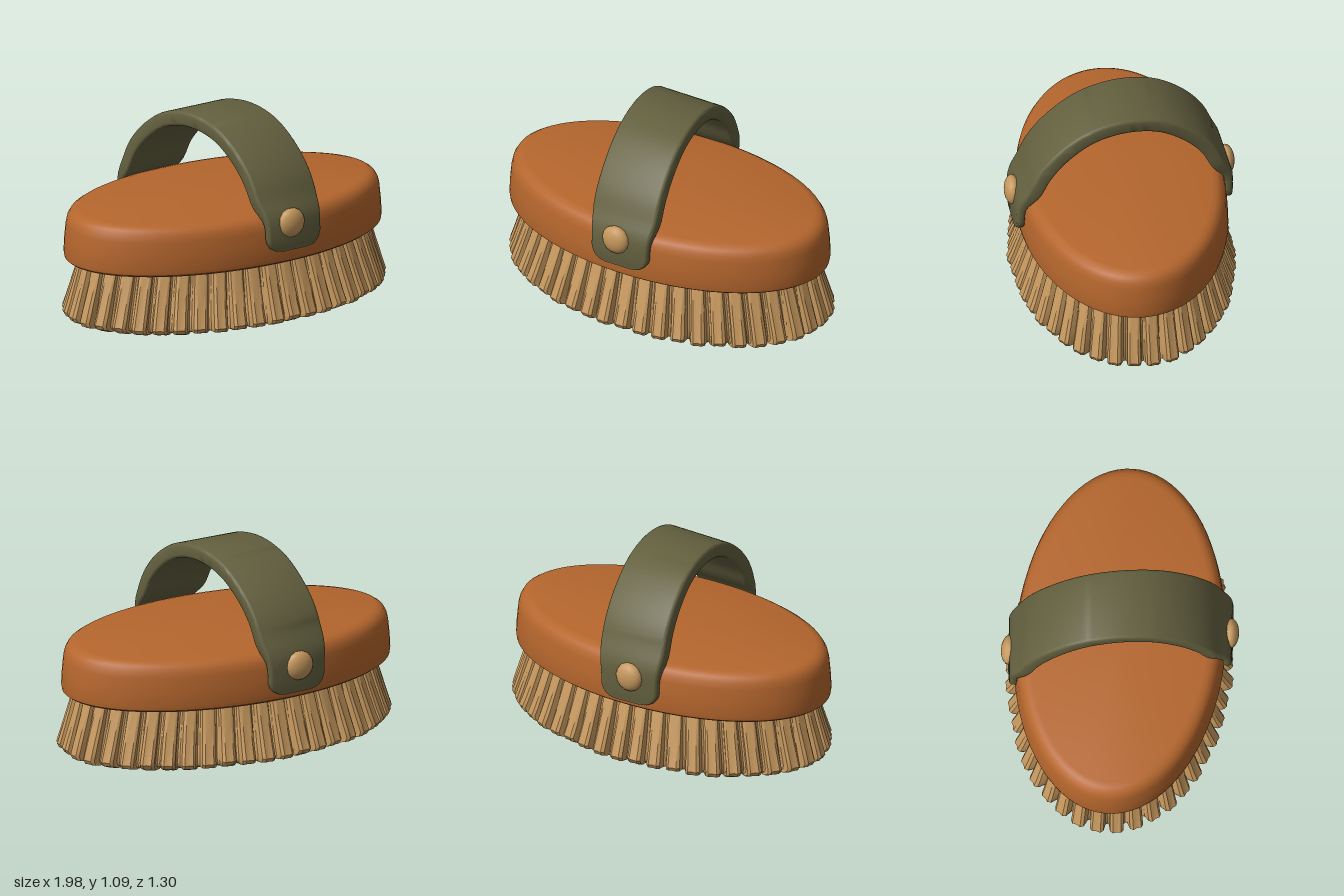
import * as THREE from 'three';
import { toCreasedNormals } from 'three/addons/utils/BufferGeometryUtils.js';

// Skin a stack of closed rings and cap both ends
function loft(rings, crease) {
  const n = rings[0].length, pos = [], idx = [];
  rings.forEach(r => r.forEach(p => pos.push(p.x, p.y, p.z)));
  for (let j = 0; j < rings.length - 1; j++) {
    for (let i = 0; i < n; i++) {
      const a = j * n + i, b = j * n + (i + 1) % n;
      idx.push(a, a + n, b, b, a + n, b + n);
    }
  }
  [0, rings.length - 1].forEach(j => {
    const c = new THREE.Vector3();
    rings[j].forEach(p => c.addScaledVector(p, 1 / n));
    const k = pos.length / 3;
    pos.push(c.x, c.y, c.z);
    for (let i = 0; i < n; i++) {
      const a = j * n + i, b = j * n + (i + 1) % n;
      if (j === 0) idx.push(k, a, b); else idx.push(k, b, a);
    }
  });
  const g = new THREE.BufferGeometry();
  g.setAttribute('position', new THREE.Float32BufferAttribute(pos, 3));
  g.setIndex(idx);
  return toCreasedNormals(g, crease);
}

// Small seeded noise in 0..1
const noise = k => { const s = Math.sin(k * 12.9898) * 43758.5453; return s - Math.floor(s); };

// Oval wooden block with a softly rounded top edge
function blockGeometry() {
  const profile = [[0.06, 0.34], [0.02, 0.343], [0.004, 0.355], [0, 0.38], [0.004, 0.46], [0.012, 0.54],
    [0.02, 0.575], [0.036, 0.602], [0.06, 0.618], [0.09, 0.625]];
  const rings = profile.map(([inset, y]) => Array.from({ length: 80 }, (_, i) => {
    const a = i / 80 * Math.PI * 2;
    return new THREE.Vector3(-0.01 + (0.985 - inset) * Math.cos(a), y, (0.582 - inset) * Math.sin(a));
  }));
  return loft(rings, 0.7);
}

// Flared skirt of bristle tufts, each tuft a rib with a groove between
function bristleGeometry() {
  const tufts = 44;
  const rib = [[0, 1], [0.1, 0.85], [0.16, 0.2], [0.3, 0], [0.5, 0.08], [0.7, 0], [0.84, 0.2], [0.9, 0.85]];
  // rx, rz, y, groove depth
  const levels = [[0.95, 0.585, 0.004, 0.05], [0.985, 0.62, 0.012, 0.06], [0.998, 0.633, 0.035, 0.07],
    [0.98, 0.61, 0.1, 0.066], [0.94, 0.565, 0.23, 0.05], [0.905, 0.525, 0.35, 0.035]];
  const rings = levels.map(([rx, rz, y, depth], j) => {
    const curve = new THREE.EllipseCurve(0, 0, rx, rz, 0, Math.PI * 2);
    curve.arcLengthDivisions = 400;
    const ring = [];
    for (let t = 0; t < tufts; t++) {
      const back = noise(t + 1) * 0.014, lift = j > 0 && j < 3 ? noise(t + 70) * 0.012 : 0;
      rib.forEach(([f, d]) => {
        const u = (t + f) / tufts, p = curve.getPointAt(u), q = curve.getTangentAt(u);
        const off = -d * depth - back * (1 - d);
        ring.push(new THREE.Vector3(p.x + q.y * off, y + lift, p.y - q.x * off));
      });
    }
    return ring;
  });
  return loft(rings, 0.6);
}

// Leather strap arching over the block, with round-cornered end tabs
function strapGeometry() {
  const path = new THREE.CatmullRomCurve3([
    [0.6, 0.43], [0.602, 0.53], [0.588, 0.61], [0.53, 0.69], [0.47, 0.8], [0.36, 0.92], [0.2, 1.02], [0, 1.056],
    [-0.2, 1.02], [-0.36, 0.92], [-0.47, 0.8], [-0.53, 0.68], [-0.583, 0.59], [-0.592, 0.51], [-0.59, 0.39],
  ].map(([z, y]) => new THREE.Vector3(0, y, z)));
  const length = path.getLength(), corner = 0.08;
  const ends = [0, 0.006, 0.02, 0.04, 0.06, 0.08, 0.12];
  const stops = [...ends];
  for (let i = 1; i < 48; i++) stops.push(0.12 + (length - 0.24) * i / 48);
  ends.slice().reverse().forEach(s => stops.push(length - s));

  const rings = stops.map(s => {
    const u = Math.min(1, s / length), p = path.getPointAt(u), t = path.getTangentAt(u);
    const end = Math.min(s, length - s);
    const blend = THREE.MathUtils.smoothstep(end, 0.12, 0.32);
    let w = THREE.MathUtils.lerp(0.18, 0.203, blend);
    if (end < corner) w -= corner - Math.sqrt(Math.max(0, corner ** 2 - (corner - end) ** 2));
    const h = THREE.MathUtils.lerp(0.024, 0.042, blend), r = 0.018;
    const ring = [];
    // rounded rectangle section, corner by corner
    [[1, 1], [-1, 1], [-1, -1], [1, -1]].forEach(([sx, sn], c) => {
      for (let k = 0; k < 4; k++) {
        const a = (c + k / 3) * Math.PI / 2;
        const across = sx * (w - r) + r * Math.cos(a), out = sn * (h - r) + r * Math.sin(a);
        const z = p.z - 0 + t.y * out;
        const x = -0.03 + 0.155 * p.z - 0.03 * p.z * p.z + across;
        // follow the curve of the oval block
        ring.push(new THREE.Vector3(x, p.y - t.z * out, z * Math.sqrt(1 - (x + 0.01) ** 2)));
      }
    });
    return ring;
  });
  return loft(rings, 0.8);
}

export function createModel() {
  const wood = new THREE.MeshStandardMaterial({ color: 0xb5662d });
  wood.name = 'wood';
  const leather = new THREE.MeshStandardMaterial({ color: 0x63603f });
  leather.name = 'olive leather';
  const tan = new THREE.MeshStandardMaterial({ color: 0xc6985e });
  tan.name = 'tan';

  const group = new THREE.Group();
  group.name = 'scrubBrush';
  const add = (name, geometry, material) => {
    const mesh = new THREE.Mesh(geometry, material);
    mesh.name = name;
    group.add(mesh);
    return mesh;
  };

  add('block', blockGeometry(), wood);
  add('bristles', bristleGeometry(), tan);
  add('strap', strapGeometry(), leather);

  // Domed studs holding the strap ends
  [['frontStud', 0.03, 0.583, 0.608], ['backStud', -0.14, 0.54, -0.6]].forEach(([name, x, y, z]) => {
    const stud = add(name, new THREE.SphereGeometry(1, 14, 10).rotateX(Math.PI / 2), tan);
    stud.scale.set(0.084, 0.084, 0.047);
    stud.position.set(x, y, z);
  });
  return group;
}
